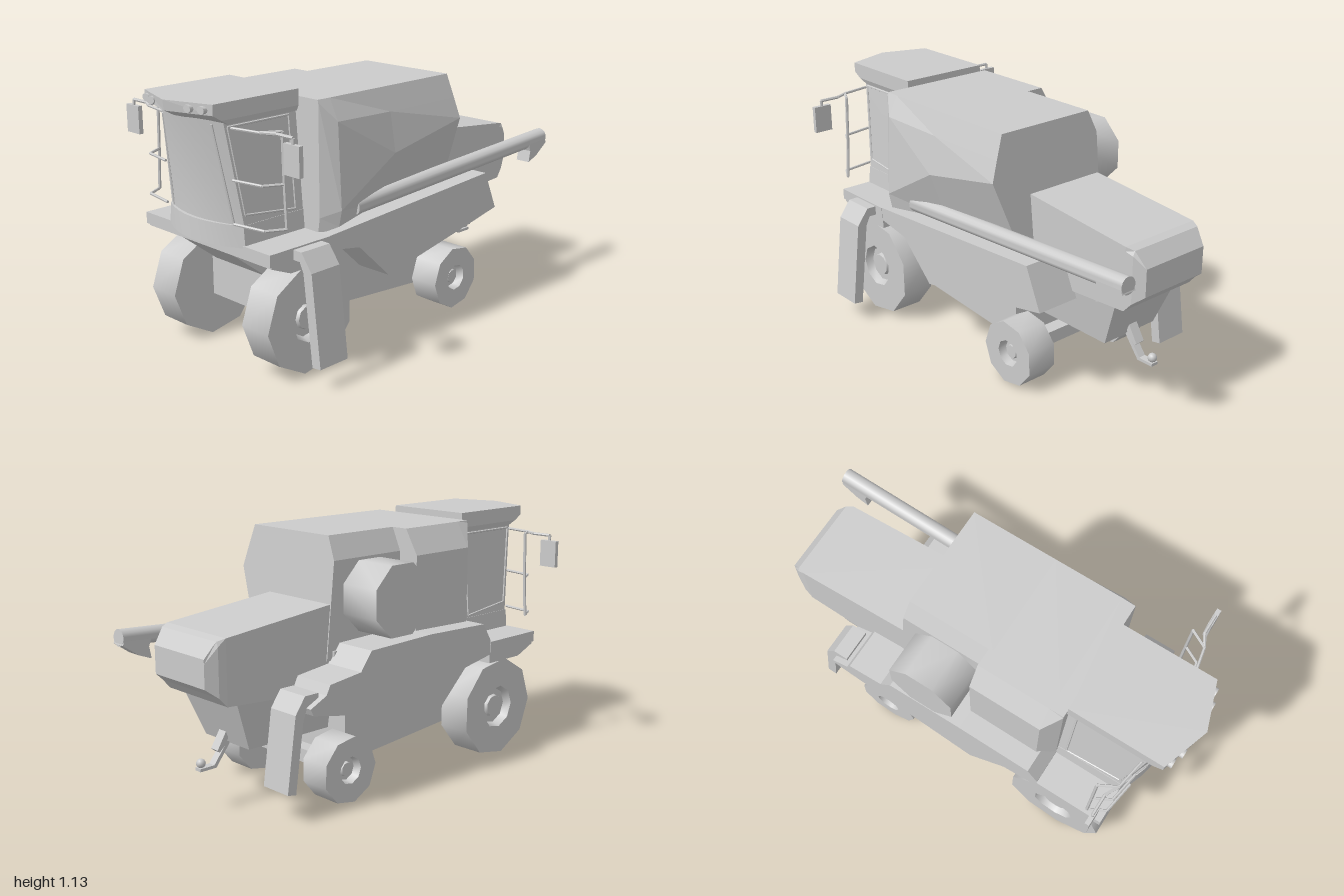
import * as THREE from 'three';
import { toCreasedNormals } from 'three/addons/utils/BufferGeometryUtils.js';

const { ShapeUtils, Vector2, Vector3 } = THREE;

// Solid through cross-sections [position, [[u, v], ...]].
// Axis x: u = z, v = y.  Axis y: u = x, v = z.  Axis z: u = x, v = y.
function loft(axis, sections) {
  const place = { x: (p, u, v) => [p, v, u], y: (p, u, v) => [u, p, v], z: (p, u, v) => [u, v, p] }[axis];
  const rings = sections.map(([p, pts]) => {
    const v = pts.map((q) => new Vector2(...q));
    if (ShapeUtils.isClockWise(v)) v.reverse();
    return { v, p, at: (i) => place(p, v[i].x, v[i].y) };
  });
  const flip = (axis !== 'z') !== (rings.at(-1).p < rings[0].p);
  const out = [];
  const tri = (a, b, c) => out.push(...a, ...(flip ? c : b), ...(flip ? b : c));
  for (let k = 0; k + 1 < rings.length; k++) {
    const a = rings[k], b = rings[k + 1], n = a.v.length;
    for (let i = 0; i < n; i++) {
      const j = (i + 1) % n;
      tri(a.at(i), a.at(j), b.at(j));
      tri(a.at(i), b.at(j), b.at(i));
    }
  }
  const first = rings[0], last = rings.at(-1);
  for (const [a, b, c] of ShapeUtils.triangulateShape(first.v, [])) tri(first.at(a), first.at(c), first.at(b));
  for (const [a, b, c] of ShapeUtils.triangulateShape(last.v, [])) tri(last.at(a), last.at(b), last.at(c));
  const g = new THREE.BufferGeometry();
  g.setAttribute('position', new THREE.Float32BufferAttribute(out, 3));
  g.computeVertexNormals();
  return g;
}

const prism = (axis, a, b, pts) => loft(axis, [[a, pts], [b, pts]]);

function box(x0, x1, y0, y1, z0, z1) {
  return new THREE.BoxGeometry(x1 - x0, y1 - y0, z1 - z0)
    .translate((x0 + x1) / 2, (y0 + y1) / 2, (z0 + z1) / 2);
}

export function createModel() {
  const model = new THREE.Group();
  const grey = new THREE.MeshStandardMaterial({ color: 0xcccccc });
  const add = (name, geometry) => {
    const mesh = new THREE.Mesh(geometry, grey);
    mesh.name = name;
    model.add(mesh);
    return mesh;
  };
  // Straight round bar between two points
  const bar = (name, from, to, r, sides = 6) => {
    const a = new Vector3(...from), b = new Vector3(...to), d = b.clone().sub(a);
    const g = toCreasedNormals(new THREE.CylinderGeometry(r, r, d.length(), sides), 1.1);
    const mesh = add(name, g);
    mesh.position.copy(a).add(b).multiplyScalar(0.5);
    mesh.quaternion.setFromUnitVectors(new Vector3(0, 1, 0), d.normalize());
  };
  const rail = (name, pts, r) => {
    for (let i = 0; i + 1 < pts.length; i++) bar(name, pts[i], pts[i + 1], r);
  };

  // Body core, with a chassis frame that is open underneath
  add('bodyCore', prism('x', -0.215, 0.21, [[0.62, 0.37], [0.6, 0.52], [0.5, 0.62], [-0.3, 0.62], [-0.3, 0.37]]));
  for (const x of [-0.215, 0.195])
    add('chassisSide', prism('x', x, x + 0.015, [[0.62, 0.185], [0.62, 0.38], [-0.24, 0.38], [-0.24, 0.117]]));
  add('chassisFront', box(-0.215, 0.21, 0.185, 0.38, 0.605, 0.62));
  add('chassisRear', box(-0.215, 0.21, 0.117, 0.38, -0.24, -0.225));
  add('feederHouse', prism('x', -0.165, 0.155, [[0.81, 0.51], [0.81, 0.5], [0.64, 0.367], [0.5, 0.367], [0.5, 0.51]]));
  add('rearHopper', loft('y', [
    [0.27, [[-0.15, -0.71], [0.14, -0.71], [0.14, -0.28], [-0.15, -0.28]]],
    [0.5, [[-0.19, -0.8], [0.18, -0.8], [0.18, -0.28], [-0.19, -0.28]]]]));
  add('rearAxle', box(-0.24, 0.23, 0.12, 0.18, -0.375, -0.31));

  // Side panels
  const lowerEdge = [[0.15, 0.3], [-0.38, 0.4], [-0.58, 0.44]];
  add('rightHandPanel', prism('x', 0.18, 0.383, [[0.33, 0.57], [0.33, 0.47], ...lowerEdge, [-0.5, 0.62]]));
  add('leftHandPanel', prism('x', -0.397, -0.19, [[0.5, 0.57], [0.5, 0.5], [0.33, 0.47], ...lowerEdge,
    [-0.595, 0.47], [-0.51, 0.51], [-0.49, 0.55], [-0.32, 0.57], [-0.26, 0.65], [0.1, 0.66], [0.45, 0.65]]));
  add('frontSkirt', prism('x', 0.18, 0.383, [[0.5, 0.56], [0.5, 0.5], [0.33, 0.47], [0.33, 0.57]]));

  // Grain tank with a leaning rear wall
  const tankSection = (z, top, upper, wide, low) =>
    [z, [[-0.16, 1.1], [top, 1.1], upper, wide, low, [-0.205, 0.58], [-0.205, 1.0]]];
  const tank = loft('z', [
    tankSection(-0.3, 0.32, [0.355, 1.0], [0.385, 0.91], [0.27, 0.6]),
    tankSection(0.12, 0.32, [0.355, 1.0], [0.385, 0.83], [0.3, 0.6]),
    tankSection(0.435, 0.32, [0.365, 1.01], [0.385, 0.65], [0.37, 0.58]),
    tankSection(0.5, 0.318, [0.322, 1.09], [0.325, 0.62], [0.315, 0.55])]);
  const tankPoints = tank.attributes.position;
  for (let i = 0; i < tankPoints.count; i++)
    if (tankPoints.getZ(i) < -0.2) tankPoints.setZ(i, -0.28 - (1.1 - tankPoints.getY(i)) * 0.1);
  tank.computeVertexNormals();
  add('grainTank', tank);
  const shoulder = (z, x, y) => [z, [[-0.24, 1.1], [-0.15, 1.1], [-0.15, 0.6], [x, 0.6], [x, y]]];
  add('tankShoulder', loft('z', [shoulder(0.1, -0.305, 0.99), shoulder(0.435, -0.305, 0.99), shoulder(0.5, -0.242, 1.09)]));

  // Rear hood
  const hood = (z, x, xTop, y0, y1, drop) =>
    [z, [[-x - 0.005, y0], [x - 0.005, y0], [x - 0.005, y1 - drop], [xTop - 0.005, y1], [-xTop - 0.005, y1], [-x - 0.005, y1 - drop]]];
  add('rearHood', loft('z', [
    hood(-0.25, 0.195, 0.195, 0.45, 0.825, 0.02),
    hood(-0.85, 0.195, 0.195, 0.49, 0.765, 0.02),
    hood(-0.885, 0.19, 0.18, 0.53, 0.755, 0.02),
    hood(-0.935, 0.165, 0.165, 0.57, 0.69, 0.02)]));

  // Rotary air screen
  const screen = new THREE.CylinderGeometry(0.165, 0.165, 0.2, 8).rotateY(Math.PI / 8).rotateZ(Math.PI / 2);
  add('airScreen', toCreasedNormals(screen, 0.9)).position.set(-0.3, 0.835, -0.085);

  // Unloading auger and its spout
  bar('auger', [0.327, 0.628, 0.31], [0.327, 0.7, -0.997], 0.037, 14);
  add('augerSpout', prism('x', 0.292, 0.362, [[-0.86, 0.69], [-0.875, 0.65], [-0.865, 0.597], [-0.925, 0.62], [-1, 0.672], [-0.99, 0.7]]));

  // Cab platform
  add('platform', box(-0.4, 0.385, 0.51, 0.56, 0.5, 0.82));
  add('platformUnderside', prism('x', -0.395, 0.38, [[0.81, 0.512], [0.81, 0.5], [0.71, 0.458], [0.5, 0.458], [0.5, 0.512]]));

  // Cab with a bowed windscreen
  const cabPlan = (y, x, corner, centre) => {
    const pts = [[-x, 0.48], [x, 0.48]];
    for (let i = 4; i >= -4; i--) pts.push([(x * i) / 4, centre - (centre - corner) * (i / 4) ** 2]);
    return [y, pts];
  };
  add('cab', toCreasedNormals(loft('y', [
    cabPlan(0.55, 0.235, 0.81, 0.875), cabPlan(0.64, 0.228, 0.81, 0.865), cabPlan(1.07, 0.19, 0.87, 0.935)]), 0.4));
  add('cabSill', toCreasedNormals(loft('y', [cabPlan(0.55, 0.238, 0.815, 0.885), cabPlan(0.64, 0.23, 0.815, 0.88)]), 0.4));
  const roofPlan = (y, side, tip, x = 0.21) => [y, [[-x, 0.5], [x, 0.5], [x, side], [0, tip], [-x, side]]];
  add('roof', loft('y', [roofPlan(1.04, 0.85, 0.88, 0.2), roofPlan(1.063, 0.89, 0.95), roofPlan(1.087, 0.93, 0.995), roofPlan(1.13, 0.93, 1)]));
  for (const x of [-0.172, -0.115, 0.11, 0.168]) {
    const lamp = new THREE.CylinderGeometry(0.021, 0.021, 0.03, 12).scale(1, 1, 0.75).rotateX(Math.PI / 2);
    add('roofLamp', toCreasedNormals(lamp, 0.8)).position.set(x, 1.106, 0.99 - Math.abs(x) * 0.3);
  }

  for (const s of [-1, 1]) {
    // Windscreen pillars and door frames
    bar('windscreenPillar', [s * 0.188, 0.64, 0.826], [s * 0.15, 1.04, 0.89], 0.006);
    const a = [s * 0.228, 0.65, 0.54], b = [s * 0.195, 1.03, 0.54];
    const c = [s * 0.195, 1.03, 0.85], d = [s * 0.225, 0.68, 0.8];
    rail('doorFrame', [a, b, c, d, a], 0.005);

    // Handrails and mirrors
    const levels = [[0.65, 0.4], [0.825, 0.39], [1.028, 0.383]];
    for (const [y, x] of levels)
      rail('handrail', [[s * 0.21, y, 0.845], [s * (x - 0.04), y, 0.82], [s * x, y, 0.745]], 0.006);
    rail('handrailPost', levels.map(([y, x]) => [s * x, y, 0.745]), 0.007);
    rail('mirrorArm', [[s * 0.34, 1.028, 0.82], [s * 0.4, 1.028, 0.79], [s * 0.49, 1.028, 0.79], [s * 0.49, 0.99, 0.79]], 0.007);
    add('mirror', box(-0.042, 0.042, -0.06, 0.06, -0.01, 0.01)).position.set(s * 0.49, 0.945, 0.79);

    // Wheels with recessed rims
    const wheel = (name, R, rim, half, sides, phi, x, y, z) => {
      const profile = [[0, -half], [R, -half], [R, half], [rim, half], [rim * 0.85, half - 0.035],
        [rim * 0.55, half - 0.035], [rim * 0.5, half - 0.02], [0, half - 0.02]];
      const g = new THREE.LatheGeometry(profile.map((p) => new Vector2(...p)), sides, s * phi).rotateZ((-s * Math.PI) / 2);
      add(name, toCreasedNormals(g, 0.75)).position.set(x, y, z);
    };
    wheel('frontWheel', 0.232, 0.1, 0.077, 9, 1.41, s * 0.295 - 0.006, 0.229, 0.59);
    wheel('rearWheel', 0.146, 0.06, 0.07, 9, 1.41, s * 0.285 - 0.006, 0.145, -0.345);
  }

  // Cab ladder and rear ladder
  add('cabLadder', prism('z', 0.55, 0.7, [[0.38, 0.553], [0.43, 0.553], [0.485, 0.48], [0.53, 0.095],
    [0.485, 0.09], [0.44, 0.47], [0.42, 0.512], [0.38, 0.512]]));
  add('rearLadder', prism('x', -0.37, -0.22, [[-0.53, 0.52], [-0.6, 0.52], [-0.65, 0.45], [-0.695, 0.13],
    [-0.652, 0.122], [-0.61, 0.42], [-0.59, 0.47], [-0.53, 0.475]]));

  // Tow hitch
  add('hitchArm', prism('x', -0.025, 0.02, [[-0.7, 0.34], [-0.72, 0.34], [-0.775, 0.25], [-0.765, 0.24], [-0.73, 0.27]]));
  add('hitchBar', prism('x', -0.02, 0.015, [[-0.7, 0.28], [-0.72, 0.28], [-0.79, 0.19], [-0.86, 0.19], [-0.86, 0.177], [-0.78, 0.177]]));
  add('hitchBall', new THREE.SphereGeometry(0.02, 12, 8)).position.set(-0.003, 0.208, -0.845);
  return model;
}
